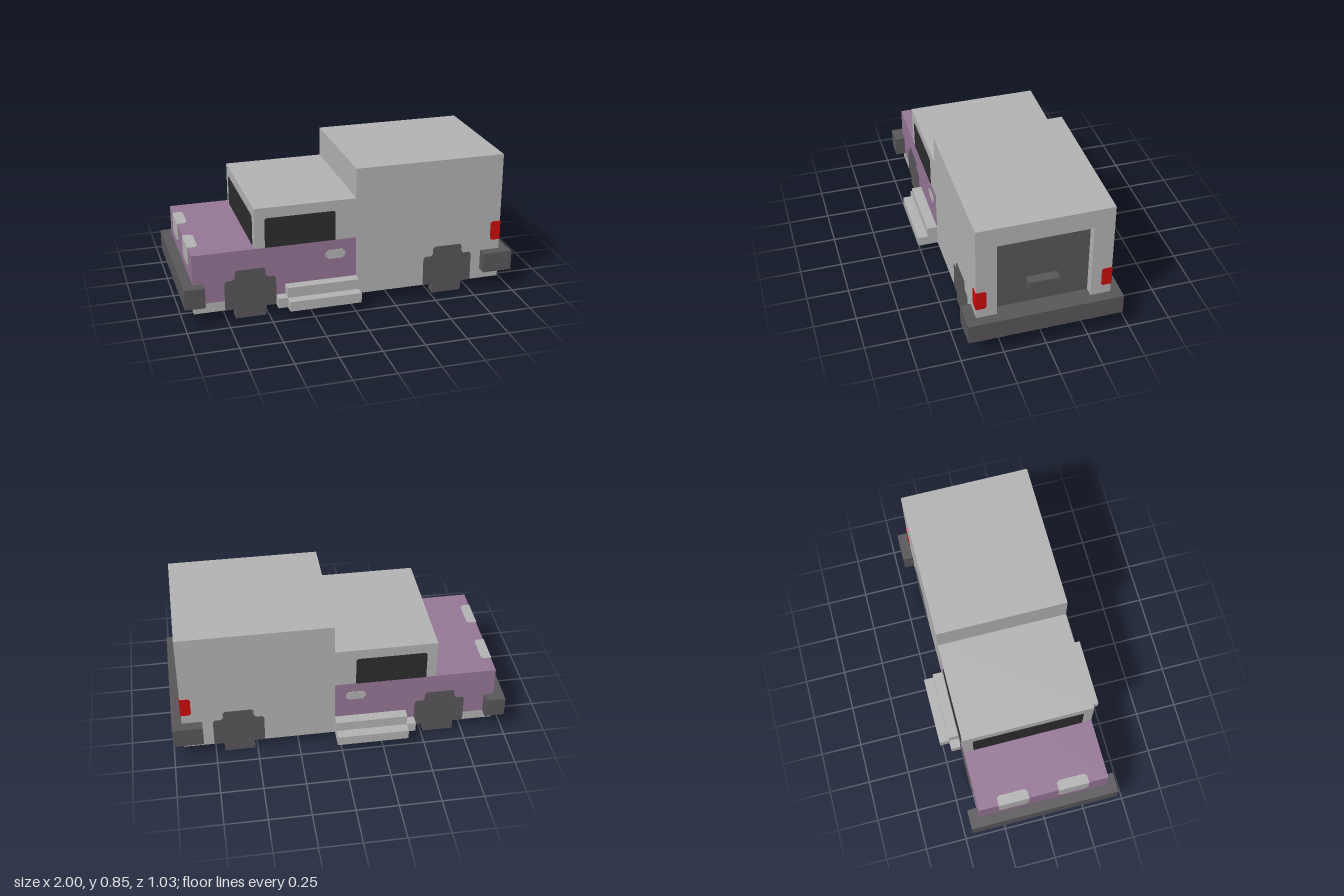
import * as THREE from 'three';

const mat = (name, color) => {
  const m = new THREE.MeshStandardMaterial({ color });
  m.name = name;
  return m;
};

export function createModel() {
  const van = new THREE.Group();
  van.name = 'van';
  const grey = mat('bodyGrey', 0xb4b4b4);
  const purple = mat('paintPurple', 0x977797);
  const dark = mat('trimDark', 0x5a575a);
  const black = mat('glassBlack', 0x2d2d2d);
  const red = mat('lampRed', 0xcc0c0c);

  const add = (name, geometry, material) => {
    const mesh = new THREE.Mesh(geometry, material);
    mesh.name = name;
    van.add(mesh);
    return mesh;
  };

  // Box from its limits along each axis
  const box = (name, m, x0, x1, y0, y1, z0, z1) => {
    const g = new THREE.BoxGeometry(x1 - x0, y1 - y0, Math.abs(z1 - z0));
    g.translate((x0 + x1) / 2, (y0 + y1) / 2, (z0 + z1) / 2);
    return add(name, g, m);
  };

  // Rectangle with clipped corners: [low-low, high-low, high-high, low-high]
  const clipped = (a0, a1, b0, b1, [p, q, r, s]) => [
    [a0, b0 + p], [a0 + p, b0], [a1 - q, b0], [a1, b0 + q],
    [a1, b1 - r], [a1 - r, b1], [a0 + s, b1], [a0, b1 - s],
  ];

  const slab = (points, depth) => {
    const shape = new THREE.Shape(points.map(([a, b]) => new THREE.Vector2(a, b)));
    const g = new THREE.ExtrudeGeometry(shape, { depth, bevelEnabled: false });
    return g.translate(0, 0, -depth / 2);
  };

  // Thin plate on a face: outline is (x,y) for z, (z,y) for x, (x,z) for y
  const plate = (name, m, axis, at, points) => {
    const g = slab(points, 0.006);
    if (axis === 'x') g.rotateY(-Math.PI / 2).translate(at, 0, 0);
    else if (axis === 'y') g.rotateX(Math.PI / 2).translate(0, at, 0);
    else g.translate(0, 0, at);
    return add(name, g, m);
  };

  const W = 0.394; // half width of the body

  // Chassis and body
  box('chassis', grey, -0.94, 0.94, 0.06, 0.12, -W, W);
  plate('underside', purple, 'y', 0.06, clipped(-0.88, 0.88, -0.335, 0.335, [0, 0, 0, 0]));
  box('hoodAndDoors', purple, -0.94, 0.03, 0.12, 0.425, -W, W);
  box('cab', grey, -0.575, 0.03, 0.425, 0.67, -W, W);
  box('cargoBox', grey, 0.03, 0.88, 0.12, 0.85, -W, W);

  // Rear frame around the recessed door
  box('rearFrameTop', grey, 0.88, 0.94, 0.73, 0.85, -W, W);
  box('rearSill', grey, 0.88, 0.94, 0.12, 0.24, -W, W);
  for (const s of [-1, 1]) box('rearFramePost', grey, 0.88, 0.94, 0.24, 0.73, s * 0.275, s * W);
  box('rearDoor', dark, 0.875, 0.884, 0.24, 0.73, -0.275, 0.275);
  box('rearDoorFloor', dark, 0.88, 0.94, 0.238, 0.244, -0.275, 0.275);
  box('rearDoorHandle', dark, 0.88, 0.94, 0.365, 0.425, -0.09, 0.09);

  // Bumpers with wrapped ends
  box('frontBumper', dark, -1, -0.94, 0.122, 0.244, -0.455, 0.455);
  box('rearBumper', dark, 0.94, 1, 0.122, 0.244, -0.455, 0.455);
  for (const s of [-1, 1]) {
    box('frontBumperEnd', dark, -0.94, -0.88, 0.122, 0.244, s * W, s * 0.455);
    box('rearBumperEnd', dark, 0.82, 0.94, 0.122, 0.244, s * W, s * 0.455);
  }

  plate('windshield', black, 'x', -0.575, clipped(-0.335, 0.335, 0.426, 0.607, [0, 0, 0.01, 0.01]));

  // Right half of a stepped wheel outline, mirrored for the left half
  const half = [[0.091, 0], [0.091, 0.06], [0.152, 0.06], [0.152, 0.23], [0.14, 0.243],
    [0.105, 0.243], [0.091, 0.257], [0.091, 0.29], [0.08, 0.303]];
  const wheelOutline = [...half, ...half.map(([x, y]) => [-x, y]).reverse()];

  for (const s of [-1, 1]) {
    // Wheels
    for (const [name, x] of [['frontWheel', -0.606], ['rearWheel', 0.606]]) {
      add(name, slab(wheelOutline, 0.062), dark).position.set(x, 0, s * 0.366);
    }
    // Side window and door handle
    plate('sideWindow', black, 'z', s * W, clipped(-0.515, -0.095, 0.426, 0.607, [0, 0, 0.01, 0.01]));
    plate('doorHandle', grey, 'z', s * W, clipped(-0.155, -0.035, 0.308, 0.364, [0.018, 0.018, 0.018, 0.018]));
    // Steps below the door
    box('lowerStep', grey, -0.4, 0.03, 0.06, 0.12, s * W, s * 0.515);
    box('upperStep', grey, -0.4, 0.03, 0.12, 0.182, s * W, s * 0.455);
    box('stepBracket', grey, -0.455, -0.4, 0.06, 0.12, s * W, s * 0.455);
    // Headlights fold over the hood edge
    const [h0, h1] = s > 0 ? [0.09, 0.275] : [-0.275, -0.09];
    plate('headlightTop', grey, 'y', 0.425, clipped(-0.942, -0.882, h0, h1, [0, 0.015, 0.015, 0]));
    plate('headlightFront', grey, 'x', -0.94, clipped(h0, h1, 0.305, 0.427, [0.02, 0.02, 0, 0]));
    // Tail lights fold around the rear corners
    const [t0, t1] = s > 0 ? [0.335, 0.396] : [-0.396, -0.335];
    const c = s > 0 ? [0.01, 0, 0, 0.01] : [0, 0.01, 0.01, 0];
    plate('tailLightRear', red, 'x', 0.94, clipped(t0, t1, 0.305, 0.425, c));
    plate('tailLightSide', red, 'z', s * W, clipped(0.88, 0.942, 0.305, 0.425, [0.01, 0, 0, 0.01]));
  }

  return van;
}
